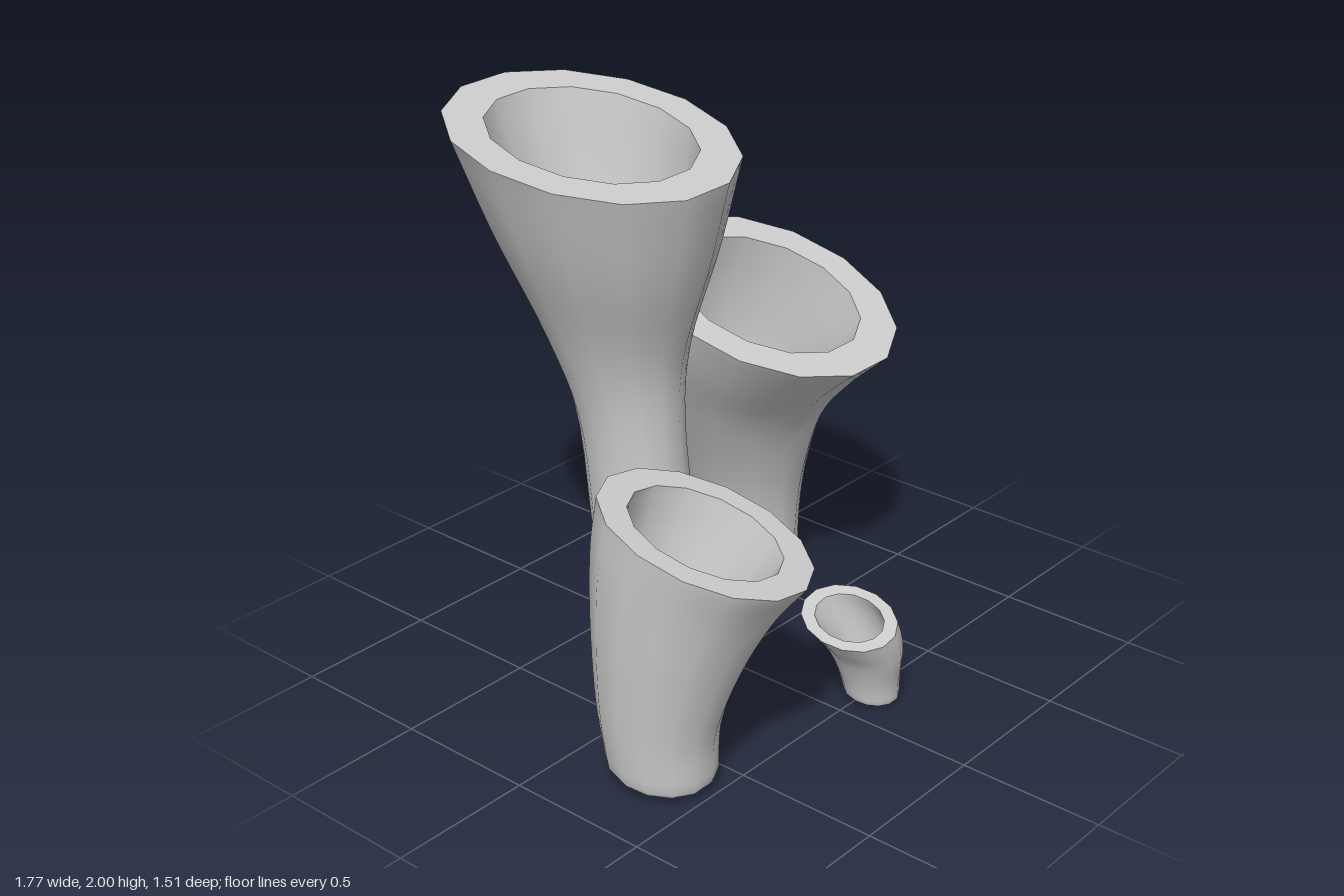
import * as THREE from 'three';
import { mergeGeometries } from 'three/addons/utils/BufferGeometryUtils.js';

const SIDES = 14;
const BORE = 0.72; // inner radius relative to the outer one
const STEPS = 22;

// Cross-sections from foot to rim:
// centre x, y, z, radius x, radius z, rise per unit of x, drop per unit of z
const TUBES = {
  tallTube: [
    [-0.208, 0.067, -0.08, 0.167, 0.18, 0, 0.12],
    [-0.232, 0.5, -0.145, 0.172, 0.18, 0, 0.13],
    [-0.253, 0.95, -0.187, 0.167, 0.185, 0, 0.14],
    [-0.265, 1.25, -0.235, 0.225, 0.25, 0, 0.155],
    [-0.288, 1.6, -0.26, 0.345, 0.385, 0.01, 0.165],
    [-0.307, 1.915, -0.28, 0.437, 0.487, 0.02, 0.173],
  ],
  wideTube: [
    [0.565, 0.02, -0.358, 0.17, 0.183, 0, 0.1],
    [0.565, 0.25, -0.388, 0.18, 0.212, 0, 0.14],
    [0.544, 0.5, -0.404, 0.234, 0.264, 0, 0.2],
    [0.504, 0.8, -0.375, 0.327, 0.33, 0, 0.27],
    [0.475, 1.0, -0.3, 0.388, 0.395, 0, 0.31],
    [0.458, 1.173, -0.2, 0.428, 0.458, 0.01, 0.333],
  ],
  shortTube: [
    [-0.67, 0.05, 0.308, 0.175, 0.181, 0, 0.13],
    [-0.673, 0.25, 0.3, 0.193, 0.202, -0.03, 0.15],
    [-0.646, 0.5, 0.323, 0.236, 0.25, -0.08, 0.2],
    [-0.61, 0.72, 0.362, 0.277, 0.302, -0.13, 0.25],
    [-0.58, 0.875, 0.415, 0.305, 0.345, -0.16, 0.28],
  ],
  smallTube: [
    [0.145, 0.018, 0.52, 0.09, 0.095, 0, 0.1],
    [0.135, 0.1, 0.515, 0.1, 0.108, 0.03, 0.11],
    [0.115, 0.2, 0.507, 0.117, 0.137, 0.09, 0.14],
    [0.087, 0.27, 0.496, 0.135, 0.155, 0.14, 0.16],
    [0.058, 0.325, 0.485, 0.145, 0.168, 0.18, 0.17],
  ],
};

// Smooth curve through three columns of the section list
function curveOf(sections, columns) {
  const points = sections.map((s) => new THREE.Vector3(...columns.map((c) => s[c] ?? 0)));
  return new THREE.CatmullRomCurve3(points, false, 'catmullrom', 0.5);
}

// Skin closed rings along a profile of [position along tube, radius factor]
function skin(sections, profile) {
  const centres = curveOf(sections, [0, 1, 2]);
  const radii = curveOf(sections, [3, 4, 7]);
  const slopes = curveOf(sections, [5, 6, 7]);
  const positions = [];
  const index = [];
  profile.forEach(([t, factor], row) => {
    const c = centres.getPoint(t);
    const r = radii.getPoint(t);
    const s = slopes.getPoint(t);
    for (let j = 0; j < SIDES; j++) {
      const a = (j / SIDES) * Math.PI * 2;
      const dx = Math.cos(a) * r.x * factor;
      const dz = Math.sin(a) * r.y * factor;
      positions.push(c.x + dx, c.y + dx * s.x - dz * s.y, c.z + dz);
      if (row === 0) continue;
      const k = (j + 1) % SIDES;
      const low = (row - 1) * SIDES;
      const high = row * SIDES;
      index.push(low + j, high + j, low + k, low + k, high + j, high + k);
    }
  });
  const geometry = new THREE.BufferGeometry();
  geometry.setAttribute('position', new THREE.Float32BufferAttribute(positions, 3));
  geometry.setIndex(index);
  geometry.computeVertexNormals();
  return geometry;
}

function tubeGeometry(sections) {
  const inner = [];
  const outer = [];
  for (let i = 0; i <= STEPS; i++) {
    const t = 0.02 + (0.98 * i) / STEPS;
    inner.unshift([t, BORE]);
    outer.push([t, 1]);
  }
  // Bore, softened foot and outer wall in one sweep, then the sharp flat rim
  const walls = skin(sections, [...inner, [0, BORE + 0.05], [0, 0.95], ...outer]);
  const rim = skin(sections, [[1, 1], [1, BORE]]);
  return mergeGeometries([walls, rim]);
}

export function createModel() {
  const model = new THREE.Group();
  model.name = 'tubeCluster';
  const material = new THREE.MeshStandardMaterial({ color: 0xcccccc });
  for (const [name, sections] of Object.entries(TUBES)) {
    const tube = new THREE.Mesh(tubeGeometry(sections), material);
    tube.name = name;
    model.add(tube);
  }
  return model;
}
